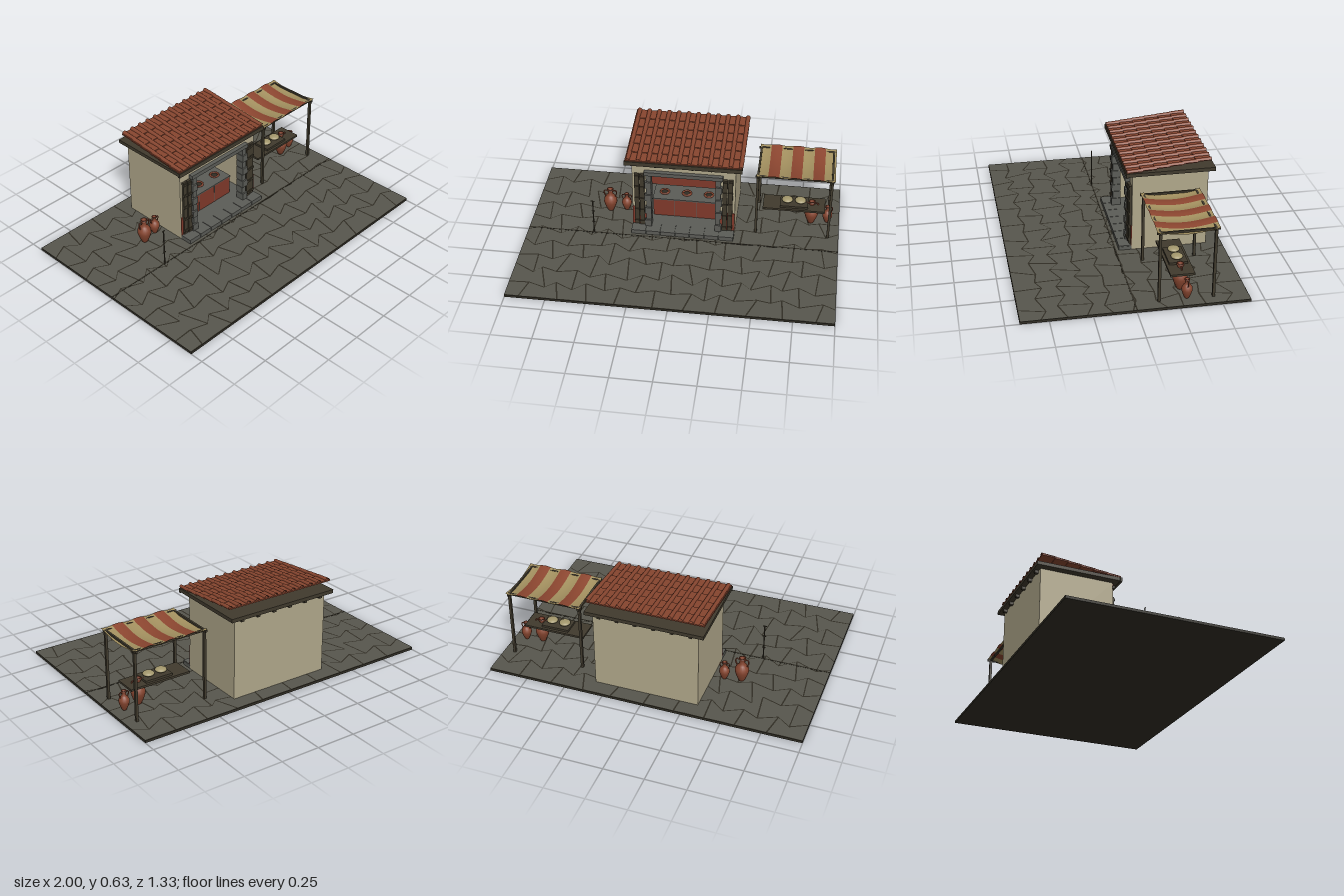
import * as THREE from 'three';
import { mergeGeometries } from 'three/addons/utils/BufferGeometryUtils.js';

const mat = (name, color, side = THREE.FrontSide) => {
  const m = new THREE.MeshStandardMaterial({ color, side });
  m.name = name;
  return m;
};

export function createModel() {
  const M = {
    plaster: mat('plaster', 0xb0a78a),
    paving: mat('paving', 0x57564d),
    joint: mat('joint', 0x302d24),
    wood: mat('wood', 0x403a2d),
    clay: mat('terracotta', 0x86452f, THREE.DoubleSide),
    red: mat('redPaint', 0x80392a),
    cream: mat('creamCloth', 0xa3905f, THREE.DoubleSide),
    redCloth: mat('redCloth', 0x8c4630, THREE.DoubleSide),
    stone: mat('greyStone', 0x5b5c57),
    bread: mat('bread', 0xa3976c),
  };
  const root = new THREE.Group();
  root.name = 'streetShop';
  const add = (name, geo, m, parent = root) => {
    const mesh = new THREE.Mesh(geo, m);
    mesh.name = name;
    parent.add(mesh);
    return mesh;
  };
  // box given by its limits on each axis
  const span = (x0, x1, y0, y1, z0, z1) =>
    new THREE.BoxGeometry(x1 - x0, y1 - y0, z1 - z0).translate((x0 + x1) / 2, (y0 + y1) / 2, (z0 + z1) / 2);
  const boxes = (name, list, m, parent) => add(name, mergeGeometries(list.map((b) => span(...b))), m, parent);
  const hash = (a, b) => {
    const s = Math.sin(a * 127.1 + b * 311.7) * 43758.5453;
    return s - Math.floor(s) - 0.5;
  };

  // ground: dark bed with irregular paving stones on top
  const G = 0.018;
  add('groundBed', span(-1, 1, 0, G - 0.002, -0.667, 0.667), M.joint);
  const rows = 10, half = 0.1, rowH = 1.334 / rows;
  const corner = (r, k) => {
    const zig = r === 0 || r === rows ? 0 : ((k + r) % 2 ? 0.02 : -0.02) + hash(r, k) * 0.05;
    const x = -1 + k * half + hash(k + 40, r) * 0.06;
    return new THREE.Vector2(k <= 0 ? -1 : k >= 20 ? 1 : x, -0.667 + r * rowH + zig);
  };
  const stones = [];
  for (let r = 0; r < rows; r++) {
    for (let k = -(r % 2); k < 20; k += 2) {
      const ks = [k, k + 1, k + 2].filter((q) => q >= 0 && q <= 20);
      const pts = [...ks.map((q) => corner(r, q)), ...ks.reverse().map((q) => corner(r + 1, q))];
      const c = pts.reduce((s, p) => s.add(p), new THREE.Vector2()).divideScalar(pts.length);
      const inset = pts.map((p) => {
        const d = p.clone().sub(c);
        const q = c.clone().add(d.setLength(d.length() - 0.006));
        if (Math.abs(p.x) === 1) q.x = p.x;
        return new THREE.Vector2(q.x, -q.y);
      });
      stones.push(new THREE.ShapeGeometry(new THREE.Shape(inset)).rotateX(-Math.PI / 2).translate(0, G, 0));
    }
  }
  add('pavingStones', mergeGeometries(stones), M.paving);
  add('gutterLine', span(-1, 1, G - 0.002, G + 0.001, -0.004, 0.004), M.joint);

  // shop walls with a wide front opening
  const shop = new THREE.Group();
  shop.name = 'shop';
  root.add(shop);
  const F = -0.1, B = -0.568, T = 0.53;
  boxes('walls', [
    [-0.33, -0.3, G, T, B, F], [0.3, 0.33, G, T, B, F], [-0.3, 0.3, G, T, B, B + 0.03],
    [-0.3, -0.21, G, T, F - 0.03, F], [0.21, 0.3, G, T, F - 0.03, F], [-0.21, 0.21, 0.445, T, F - 0.03, F],
  ], M.plaster, shop);
  add('shopFloor', span(-0.3, 0.3, G, 0.045, B + 0.03, F), M.stone, shop);
  boxes('paintedBands', [
    [-0.33, -0.21, 0.045, 0.18, F, F + 0.004], [0.21, 0.33, 0.045, 0.18, F, F + 0.004],
    [-0.33, 0.33, 0.512, 0.524, F, F + 0.004], [-0.3, 0.3, 0.045, 0.178, B + 0.03, B + 0.034],
  ], M.red, shop);

  // threshold blocks
  const step = [[-0.33, 0.33, G, 0.04, F, -0.03]];
  for (let i = 0; i < 7; i++) step.push([-0.33 + i * 0.0945, -0.239 + i * 0.0945, G, 0.046, F, -0.02]);
  boxes('threshold', step, M.stone, shop);

  // stone door frame with alternating blocks
  const frame = [[-0.25, 0.25, 0.445, 0.472, F, -0.072]];
  for (const s of [-1, 1]) {
    for (let i = 0; i < 8; i++) {
      const out = i % 2 ? 0.238 : 0.247, y = 0.046 + i * 0.05;
      const x = [s * 0.205, s * out].sort((a, b) => a - b);
      frame.push([x[0], x[1], y, y + 0.047, F - 0.03, i % 2 ? -0.08 : -0.073]);
    }
  }
  boxes('doorFrame', frame, M.stone, shop);

  // folded plank shutters
  const shutters = [];
  for (const s of [-1, 1]) {
    for (const [a, b, z] of [[0.25, 0.28, -0.082], [0.284, 0.314, -0.086]]) {
      const x = [s * a, s * b].sort((p, q) => p - q);
      shutters.push([...x, 0.05, 0.445, F, z]);
      for (const y of [0.07, 0.16, 0.25, 0.34, 0.42]) shutters.push([...x, y, y + 0.014, F, z + 0.007]);
    }
  }
  boxes('shutters', shutters, M.wood, shop);

  // serving counter with sunken jars
  boxes('counterFront', [[-0.21, 0.21, 0.045, 0.172, -0.35, -0.2]], M.red, shop);
  boxes('counterTop', [[-0.215, 0.215, 0.172, 0.18, -0.355, -0.196]], M.stone, shop);
  boxes('counterJoints', [-0.07, 0.07].map((x) => [x - 0.002, x + 0.002, 0.045, 0.172, -0.2, -0.198]), M.stone, shop);
  for (const x of [-0.145, 0, 0.145]) {
    add('jarRim', new THREE.TorusGeometry(0.027, 0.007, 6, 20).rotateX(Math.PI / 2).translate(x, 0.183, -0.275), M.clay, shop);
    add('jarMouth', new THREE.CylinderGeometry(0.026, 0.026, 0.004, 20).translate(x, 0.181, -0.275), M.joint, shop);
  }
  boxes('wallShelf', [[-0.25, 0.25, 0.29, 0.298, B + 0.03, -0.46]], M.wood, shop);

  // eaves and rafters
  const eaves = [[-0.37, 0.37, 0.533, 0.556, -0.602, -0.06], [-0.372, 0.372, 0.528, 0.556, -0.068, -0.055]];
  for (let i = 0; i < 6; i++) {
    const x = -0.285 + i * 0.114;
    eaves.push([x - 0.01, x + 0.01, 0.515, 0.535, -0.59, -0.07]);
  }
  boxes('roofDeck', eaves, M.wood, shop);

  // overlapping tile courses
  const tiles = [];
  for (let r = 0; r < 6; r++) {
    const course = [span(-0.367, 0.367, -0.004, 0.004, -0.047, 0.047)];
    for (let i = 0; i < 12; i++) {
      const cap = new THREE.CylinderGeometry(0.012, 0.015, 0.094, 8, 1, true, -Math.PI / 2, Math.PI);
      course.push(cap.rotateX(Math.PI / 2).rotateZ(Math.PI).translate(-0.348 + i * 0.0645, 0.003, 0));
    }
    const g = mergeGeometries(course);
    // arched side of each cap tile faces up
    const p = g.attributes.position;
    for (let i = 24; i < p.count; i++) p.setY(i, 0.003 + Math.abs(p.getY(i) - 0.003));
    g.computeVertexNormals();
    tiles.push(g.rotateX(0.04).translate(0, 0.564 + r * 0.0084, -0.107 - r * 0.0838));
  }
  add('roofTiles', mergeGeometries(tiles), M.clay, shop);

  // awning frame
  const stall = new THREE.Group();
  stall.name = 'marketStall';
  root.add(stall);
  const bars = [];
  for (const x of [0.465, 0.93]) {
    for (const z of [-0.14, -0.46]) bars.push([x - 0.008, x + 0.008, G, 0.46, z - 0.008, z + 0.008]);
    bars.push([x - 0.006, x + 0.006, 0.456, 0.468, -0.483, -0.12]);
  }
  for (const z of [-0.14, -0.46]) bars.push([0.45, 0.945, 0.456, 0.468, z - 0.006, z + 0.006]);
  boxes('awningFrame', bars, M.wood, stall);

  // sagging striped cloth
  for (let i = 0; i < 7; i++) {
    const w = 0.07;
    const g = new THREE.PlaneGeometry(w, 0.36, 6, 14).rotateX(-Math.PI / 2);
    const p = g.attributes.position;
    for (let j = 0; j < p.count; j++) {
      const u = p.getX(j) / w + 0.5, v = p.getZ(j) / 0.36 + 0.5;
      const wave = (i % 2 ? 1 : -1) * 0.004 * Math.sin(Math.PI * u);
      p.setY(j, 0.474 - 0.024 * Math.sin(Math.PI * v) + wave);
    }
    g.computeVertexNormals();
    add('awningStripe', g.translate(0.4925 + i * w, 0, -0.302), i % 2 ? M.redCloth : M.cream, stall);
  }

  // display board, tray and loaves
  boxes('displayBoard', [[0.5, 0.9, 0.15, 0.163, -0.357, -0.212]], M.wood, stall);
  boxes('breadTray', [[0.61, 0.79, 0.163, 0.177, -0.34, -0.228]], M.wood, stall);
  for (const x of [0.655, 0.74]) {
    add('loaf', new THREE.SphereGeometry(0.036, 18, 10).scale(1, 0.42, 1).translate(x, 0.191, -0.284), M.bread, stall);
  }

  // amphorae
  const profile = [[0, 0], [0.1, 0], [0.12, 0.04], [0.2, 0.22], [0.26, 0.42], [0.25, 0.56], [0.16, 0.7],
    [0.1, 0.76], [0.09, 0.9], [0.13, 0.95], [0.13, 1], [0.09, 1], [0.07, 0.8], [0, 0.78]];
  const amphora = (x, z, h) => {
    const jar = new THREE.Group();
    jar.name = 'amphora';
    add('jarBody', new THREE.LatheGeometry(profile.map(([r, y]) => new THREE.Vector2(r, y)), 20), M.clay, jar);
    for (const s of [-1, 1]) {
      const path = new THREE.CatmullRomCurve3([[0.09, 0.9], [0.2, 0.94], [0.25, 0.84], [0.19, 0.66]]
        .map(([a, y]) => new THREE.Vector3(s * a, y, 0)));
      add('jarHandle', new THREE.TubeGeometry(path, 10, 0.026, 6), M.clay, jar);
    }
    jar.scale.setScalar(h);
    jar.position.set(x, G, z);
    root.add(jar);
  };
  amphora(-0.505, -0.25, 0.168);
  amphora(-0.4, -0.27, 0.125);
  amphora(0.815, -0.288, 0.168);
  amphora(0.92, -0.305, 0.125);

  // measuring pole with short pegs
  add('pole', new THREE.CylinderGeometry(0.004, 0.004, 0.255, 8).translate(-0.57, G + 0.127, 0), M.wood);
  boxes('polePegs', [0.105, 0.19, 0.268].map((y) => [-0.582, -0.558, y - 0.002, y + 0.002, -0.002, 0.002]), M.wood);
  return root;
}
